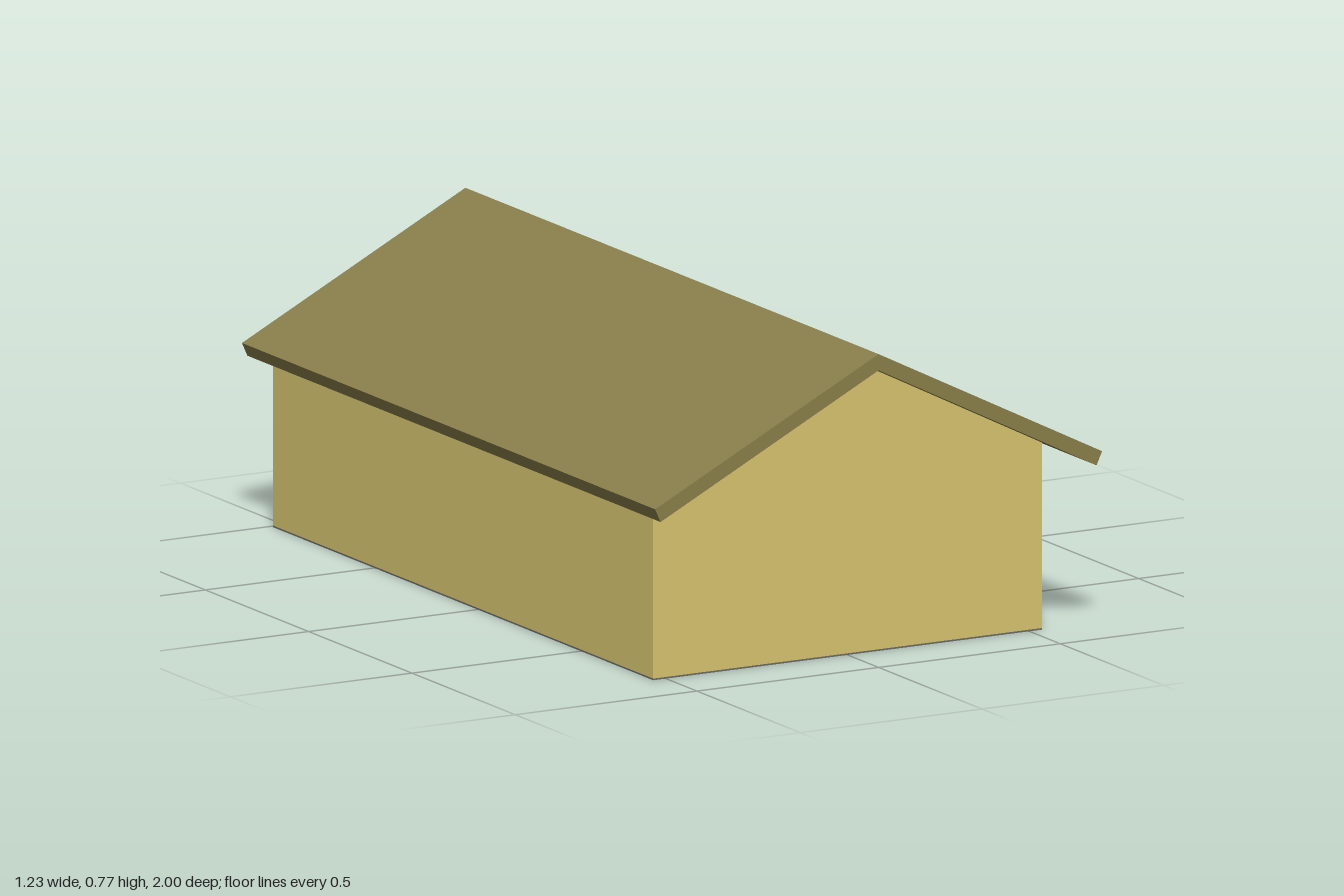
import * as THREE from 'three';

// Extrudes an outline in the xy plane from zBack to zFront
function extrudeProfile(name, points, zBack, zFront, color) {
  const shape = new THREE.Shape(points.map(([x, y]) => new THREE.Vector2(x, y)));
  const geometry = new THREE.ExtrudeGeometry(shape, { depth: zFront - zBack, bevelEnabled: false });
  geometry.translate(0, 0, zBack);
  const mesh = new THREE.Mesh(geometry, new THREE.MeshStandardMaterial({ color }));
  mesh.name = name;
  return mesh;
}

export function createModel() {
  const group = new THREE.Group();
  group.name = 'house';

  const wallX = 0.535, wallBack = -0.99, wallFront = 0.85, floorTop = 0.004;

  // Gabled body, meeting the underside of the roof
  group.add(extrudeProfile('walls', [
    [-wallX, floorTop], [wallX, floorTop], [wallX, 0.46], [0, 0.73], [-wallX, 0.46],
  ], wallBack, wallFront, 0xd8c570));

  // Thin dark floor slab
  const floor = new THREE.Mesh(
    new THREE.BoxGeometry(wallX * 2, floorTop, wallFront - wallBack),
    new THREE.MeshStandardMaterial({ color: 0x6a6a6a }),
  );
  floor.position.set(0, floorTop / 2, (wallFront + wallBack) / 2);
  floor.name = 'floor';
  group.add(floor);

  // Pitched roof with a deeper overhang at the front
  group.add(extrudeProfile('roof', [
    [0, 0.77], [-0.615, 0.46], [-0.6, 0.427], [0, 0.73], [0.6, 0.427], [0.615, 0.46],
  ], -1, 1, 0x8a7f4a));

  return group;
}
